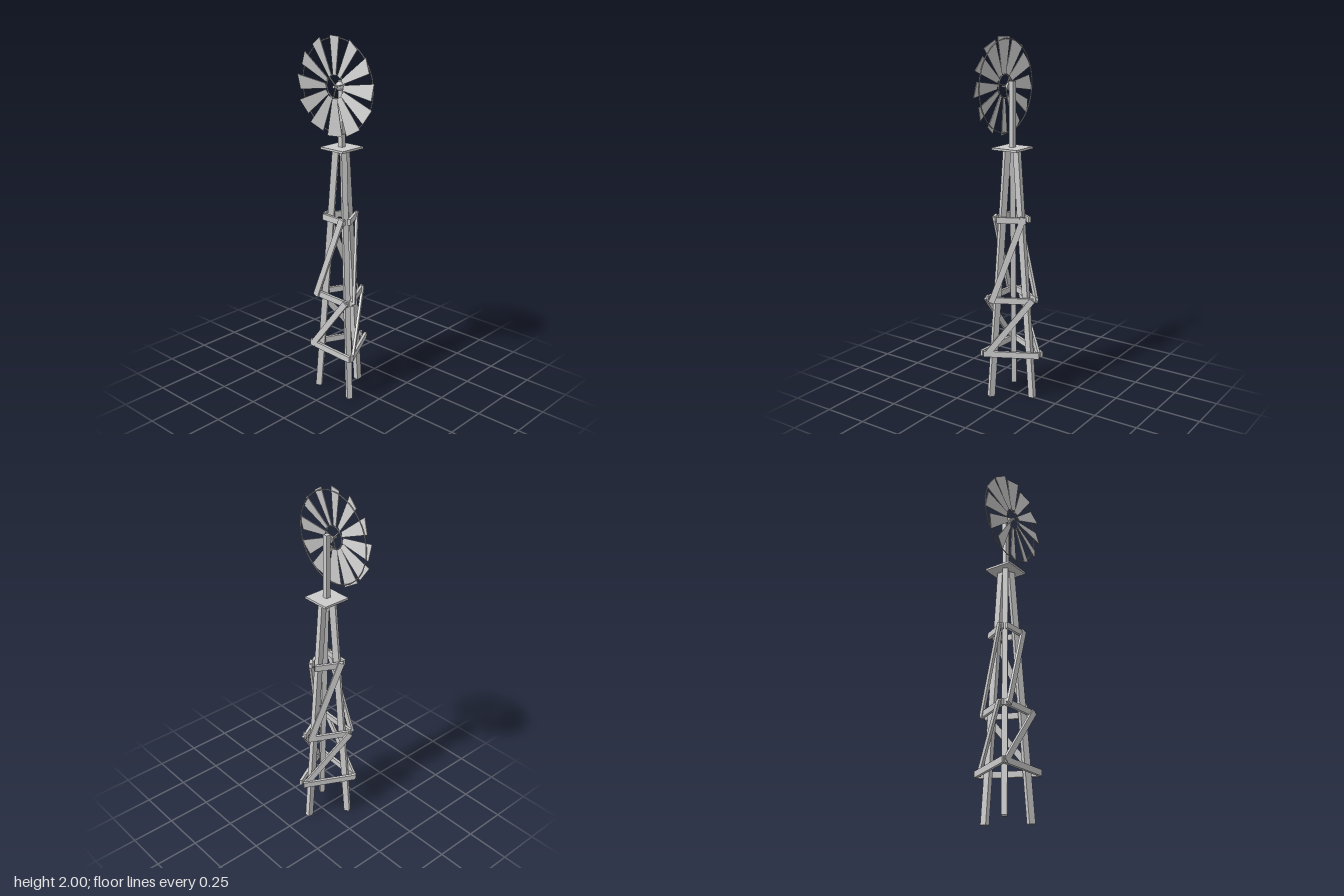
import * as THREE from 'three';

const V = (x, y, z) => new THREE.Vector3(x, y, z);

export function createModel() {
  const root = new THREE.Group();
  root.name = 'windPump';
  const mat = new THREE.MeshStandardMaterial({ color: 0xcccccc, flatShading: true });
  const smooth = new THREE.MeshStandardMaterial({ color: 0xcccccc });

  function add(parent, name, geo, x = 0, y = 0, z = 0, material = mat) {
    const m = new THREE.Mesh(geo, material);
    m.name = name;
    m.position.set(x, y, z);
    parent.add(m);
    return m;
  }

  // Rectangular beam from a to b, its depth lying along the outward direction
  function beam(parent, name, a, b, width, depth, out) {
    const dir = b.clone().sub(a);
    const m = add(parent, name, new THREE.BoxGeometry(width, dir.length(), depth));
    const yAxis = dir.normalize();
    const xAxis = yAxis.clone().cross(out).normalize();
    const zAxis = xAxis.clone().cross(yAxis);
    m.quaternion.setFromRotationMatrix(new THREE.Matrix4().makeBasis(xAxis, yAxis, zAxis));
    m.position.copy(a).add(b).multiplyScalar(0.5);
  }

  // Three-legged tower, turned about its own axis
  const tower = new THREE.Group();
  tower.name = 'tower';
  tower.position.z = 0.038;
  root.add(tower);

  for (let i = 0; i < 3; i++) {
    const a = Math.PI + i * Math.PI * 2 / 3;
    const out = V(Math.sin(a), 0, Math.cos(a));
    beam(tower, 'leg', out.clone().multiplyScalar(0.135).setY(0.002),
      out.clone().multiplyScalar(0.03).setY(1.415), 0.03, 0.034, out);
  }

  // Crosspieces: height, distance from the axis, half length
  const levels = [[0.268, 0.097, 0.156], [0.581, 0.083, 0.122], [1.032, 0.062, 0.08]];
  const out = V(0, 0, 1);
  for (let i = 0; i < 3; i++) {
    const side = new THREE.Group();
    side.name = 'braceSide';
    side.rotation.y = i * Math.PI * 2 / 3;
    tower.add(side);
    const skew = i === 2 ? -0.05 : 0.05;
    levels.forEach(([y, d, h]) => beam(side, 'crosspiece',
      V(-h, y, d - skew * h), V(h, y, d + skew * h), 0.034, 0.016, out));
    // Diagonals rise from left to right on the outside of the crosspieces
    beam(side, 'diagonalBrace', V(-0.14, 0.262, 0.093), V(0.116, 0.59, 0.096), 0.034, 0.014, out);
    beam(side, 'diagonalBrace', V(-0.11, 0.572, 0.093), V(0.066, 1.05, 0.07), 0.034, 0.014, out);
  }

  // Platform and mast
  add(root, 'platform', new THREE.BoxGeometry(0.16, 0.012, 0.16), 0, 1.416, 0.036);
  add(root, 'mast', new THREE.BoxGeometry(0.027, 0.352, 0.027), 0, 1.596, 0.036);

  // Wheel
  const wheel = new THREE.Group();
  wheel.name = 'wheel';
  wheel.position.set(0, 1.743, 0);
  root.add(wheel);

  const dome = new THREE.SphereGeometry(0.024, 16, 8, 0, Math.PI * 2, 0, Math.PI / 2);
  dome.rotateX(Math.PI / 2);
  add(wheel, 'hubDome', dome, 0, 0, 0.05, smooth);
  const back = new THREE.CircleGeometry(0.024, 16);
  back.rotateY(Math.PI);
  add(wheel, 'hubBack', back, 0, 0, 0.05);
  const axle = new THREE.CylinderGeometry(0.008, 0.008, 0.055, 10);
  axle.rotateX(Math.PI / 2);
  add(wheel, 'axle', axle, 0, 0, 0.07);

  add(wheel, 'outerRing', new THREE.TorusGeometry(0.246, 0.003, 6, 48), 0, 0, 0.072, smooth);
  add(wheel, 'innerRing', new THREE.TorusGeometry(0.062, 0.003, 6, 32), 0, 0, 0.08, smooth);
  for (let i = 0; i < 3; i++) {
    const a = Math.PI / 12 + i * Math.PI * 2 / 3;
    beam(wheel, 'spoke', V(0, 0, 0.078), V(0.062 * Math.cos(a), 0.062 * Math.sin(a), 0.08),
      0.005, 0.005, out);
  }

  // Twelve tapered blades, each pitched about its own length
  const outline = new THREE.Shape([[-0.014, 0.06], [0.014, 0.06], [0.043, 0.257], [-0.043, 0.257]]
    .map(([x, y]) => new THREE.Vector2(x, y)));
  const bladeGeo = new THREE.ExtrudeGeometry(outline, { depth: 0.004, bevelEnabled: false });
  bladeGeo.translate(0, 0, -0.002);
  bladeGeo.rotateY(-0.25);
  for (let i = 0; i < 12; i++) {
    add(wheel, 'blade', bladeGeo, 0, 0, 0.089).rotation.z = i * Math.PI / 6;
  }

  return root;
}
